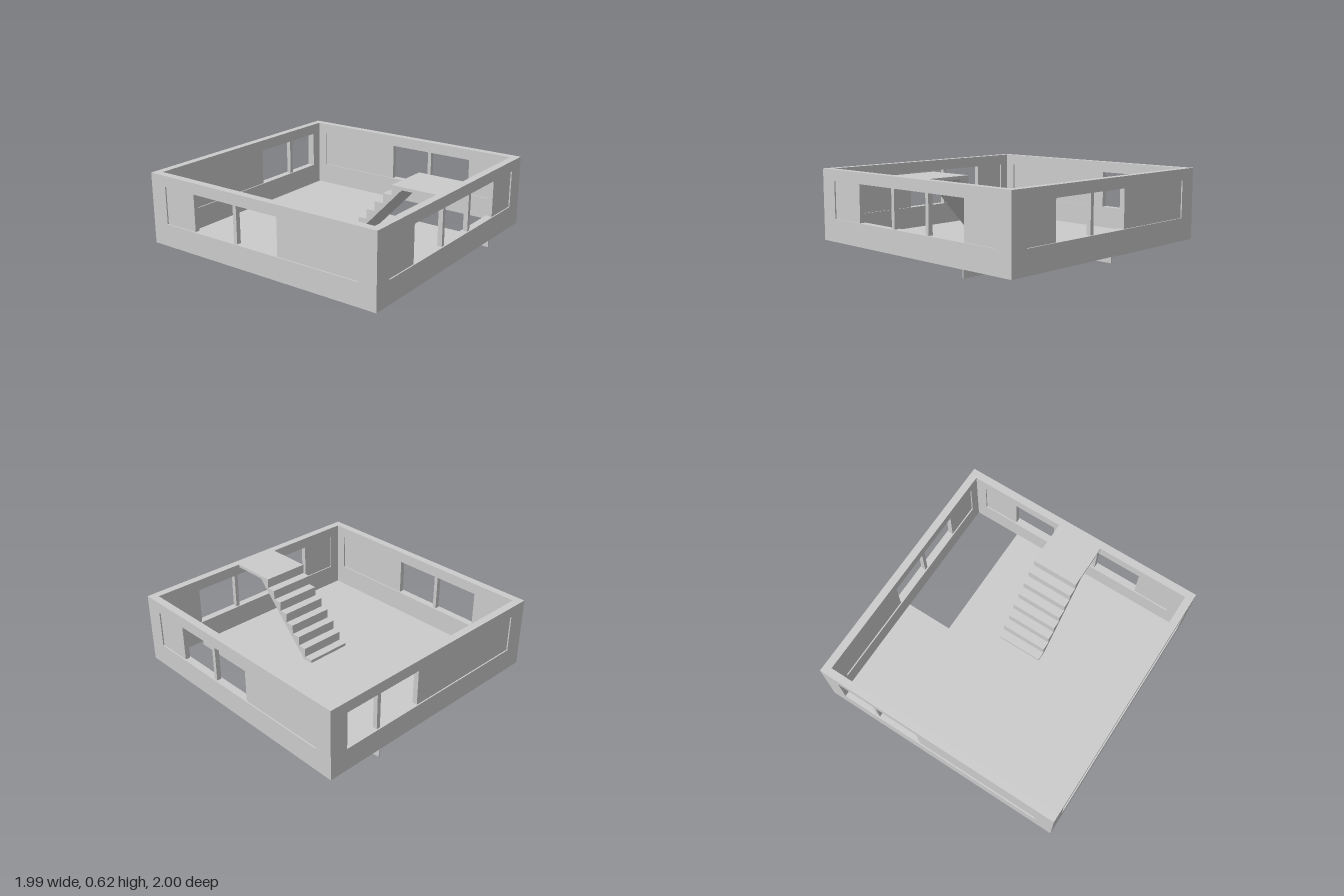
import * as THREE from 'three';

const material = new THREE.MeshStandardMaterial({ color: 0xcccccc, flatShading: true });
const BOTTOM = 0.065, TOP = 0.615, SILL = 0.24, HEAD = 0.53, THICK = 0.06;
const HALF_X = 0.995, HALF_Z = 1;

function add(parent, name, geometry) {
  const mesh = new THREE.Mesh(geometry, material);
  mesh.name = name;
  parent.add(mesh);
  return mesh;
}

// Box given by its minimum and maximum corners
function box(parent, name, x0, x1, y0, y1, z0, z1) {
  const mesh = add(parent, name, new THREE.BoxGeometry(x1 - x0, y1 - y0, z1 - z0));
  mesh.position.set((x0 + x1) / 2, (y0 + y1) / 2, (z0 + z1) / 2);
}

const points = (list) => list.map(([x, y]) => new THREE.Vector2(x, y));
const rect = (x0, x1, y0, y1) => points([[x0, y0], [x1, y0], [x1, y1], [x0, y1]]);

function extrude(outline, depth, hole) {
  const shape = new THREE.Shape(outline);
  if (hole) shape.holes.push(new THREE.Path(hole));
  return new THREE.ExtrudeGeometry(shape, { depth, bevelEnabled: false });
}

// Wall with one long window band, filled by blind panels and mullions.
// Local z = 0 is the inner face and local +z points outwards.
function wall(name, half, bandHalf, panels, mullions) {
  const group = new THREE.Group();
  group.name = name;
  const outline = rect(-half, half, BOTTOM, TOP);
  add(group, name + 'Frame', extrude(outline, THICK, rect(-bandHalf, bandHalf, SILL, HEAD)));
  for (const [a, b] of panels) box(group, 'windowPanel', a, b, SILL, HEAD, 0.01, 0.05);
  for (const u of mullions) box(group, 'mullion', u - 0.015, u + 0.015, SILL, HEAD, 0.012, 0.048);
  return group;
}

export function createModel() {
  const model = new THREE.Group();
  model.name = 'walledStorey';

  // Four outer walls
  const front = wall('frontWall', HALF_X, 0.85, [[-0.85, -0.55], [0.565, 0.85]], [-0.165, 0.2]);
  front.position.z = HALF_Z - THICK;
  const back = wall('backWall', HALF_X, 0.85, [[-0.17, 0.85]], [-0.55]);
  back.position.z = -HALF_Z + THICK;
  back.rotation.y = Math.PI;
  const sideHalf = HALF_Z - THICK;
  const right = wall('positiveSideWall', sideHalf, 0.86, [[-0.86, -0.58], [0.145, 0.86]], [-0.21]);
  right.position.x = HALF_X - THICK;
  right.rotation.y = Math.PI / 2;
  const left = wall('negativeSideWall', sideHalf, 0.86, [[-0.86, -0.58], [0.19, 0.86]], [-0.19]);
  left.position.x = -HALF_X + THICK;
  left.rotation.y = -Math.PI / 2;
  model.add(front, back, right, left);

  // L-shaped floor leaving an open well in the front corner (shape y = -z)
  const e = 0.985;
  const floorOutline = points([[-e, -e], [0.55, -e], [0.55, 0.07], [e, 0.07], [e, e], [-e, e]]);
  const floor = add(model, 'floor', extrude(floorOutline, 0.01));
  floor.rotation.x = -Math.PI / 2;
  floor.position.y = 0.059;

  // Downstand plates under the edges of the well
  box(model, 'longDownstand', 0.544, 0.55, 0, 0.062, -1, 0.985);
  box(model, 'shortDownstand', 0.55, 0.935, 0, 0.062, -0.076, -0.07);

  // Staircase: stepped top, sloped soffit and thin landing, profile in (z, y)
  const profile = [[0.09, 0.04]];
  for (let i = 0; i < 8; i++) {
    const z = 0.09 + i * 0.07, y = TOP - (7 - i) * 0.0745;
    profile.push([z, y]);
    if (i < 7) profile.push([z + 0.07, y]);
  }
  profile.push([0.945, TOP], [0.945, 0.592], [0.665, 0.592], [0.147, 0.04]);
  const stairs = add(model, 'staircase', extrude(points(profile), 0.37));
  stairs.rotation.y = -Math.PI / 2;
  stairs.position.x = 0.17;

  return model;
}
